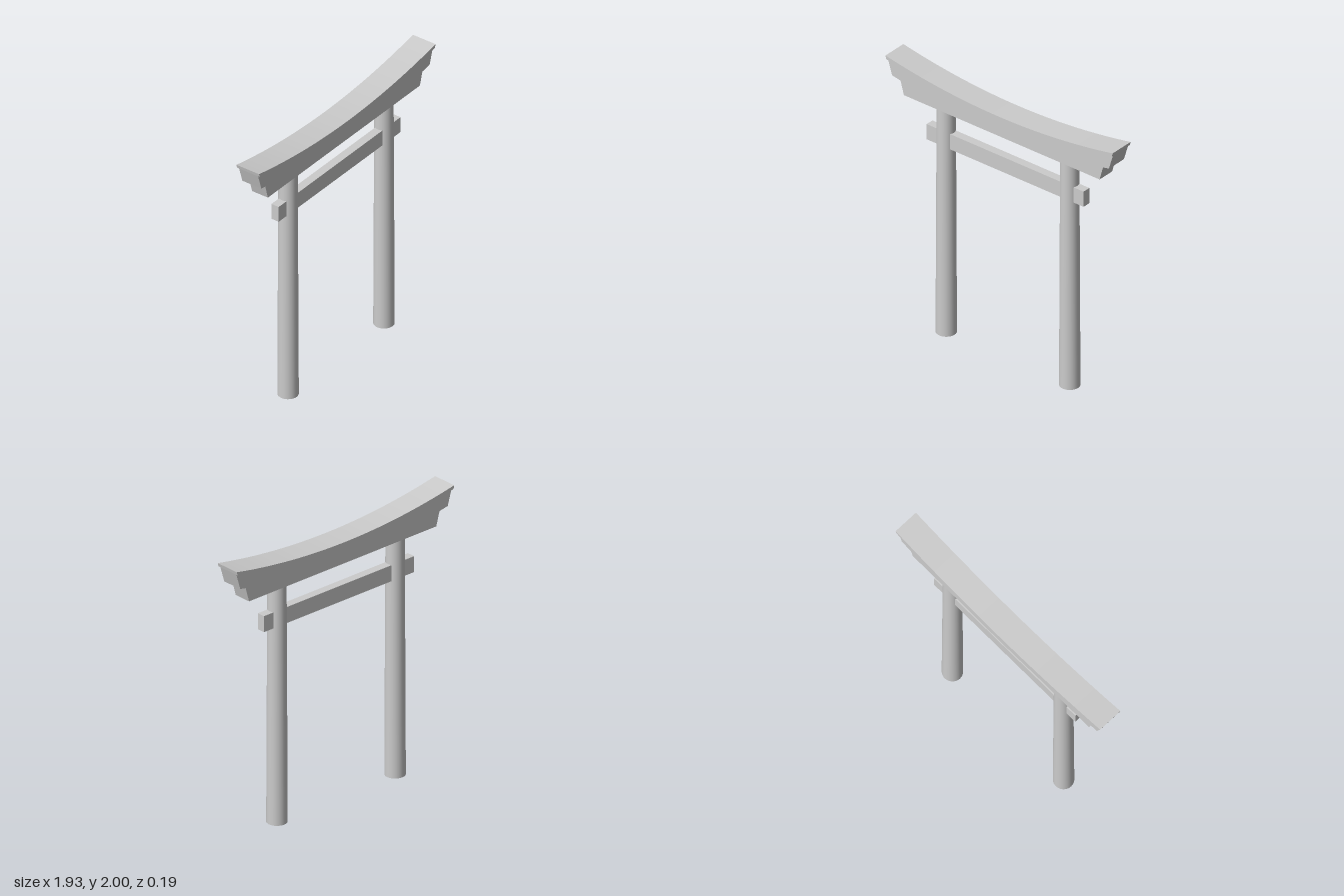
import * as THREE from 'three';

const material = new THREE.MeshStandardMaterial({ color: 0xcccccc, side: THREE.DoubleSide });
const SEGMENTS = 32;

// Height of an upward-sweeping curve: mid at x = 0, end at x = halfWidth
const sweep = (mid, end, halfWidth) => (x) => mid + (end - mid) * (x / halfWidth) ** 2;

// Beam with slanted ends, bounded by a lower and an upper curve
function curvedBeam(name, lower, upper, halfBottom, halfTop, depth) {
  const points = [];
  for (let i = 0; i <= SEGMENTS; i++) {
    const x = -halfBottom + (2 * halfBottom * i) / SEGMENTS;
    points.push(new THREE.Vector2(x, lower(x)));
  }
  for (let i = 0; i <= SEGMENTS; i++) {
    const x = halfTop - (2 * halfTop * i) / SEGMENTS;
    points.push(new THREE.Vector2(x, upper(x)));
  }
  const geometry = new THREE.ExtrudeGeometry(new THREE.Shape(points), { depth, bevelEnabled: false });
  geometry.translate(0, 0, -depth / 2);
  const mesh = new THREE.Mesh(geometry, material);
  mesh.name = name;
  return mesh;
}

export function createModel() {
  const group = new THREE.Group();
  group.name = 'gate';

  // Tapered round pillars
  for (const [side, name] of [[1, 'leftPillar'], [-1, 'rightPillar']]) {
    const height = 1.735;
    const pillar = new THREE.Mesh(new THREE.CylinderGeometry(0.064, 0.071, height, 32), material);
    pillar.position.set(side * 0.525, height / 2, 0);
    pillar.name = name;
    group.add(pillar);
  }

  // Straight tie beam passing through both pillars
  const tie = new THREE.Mesh(new THREE.BoxGeometry(1.334, 0.117, 0.06), material);
  tie.position.y = 1.499;
  tie.name = 'tieBeam';
  group.add(tie);

  // Stacked lintel: flat-bottomed support, main beam and thin cap
  const flat = () => 1.733;
  const mainBottom = sweep(1.772, 1.857, 0.92);
  const capBottom = sweep(1.878, 1.975, 0.96);
  const capTop = sweep(1.905, 2.0, 0.966);
  group.add(
    curvedBeam('supportBeam', flat, mainBottom, 0.832, 0.864, 0.13),
    curvedBeam('mainBeam', mainBottom, capBottom, 0.922, 0.957, 0.156),
    curvedBeam('capBeam', capBottom, capTop, 0.96, 0.966, 0.186),
  );
  return group;
}
